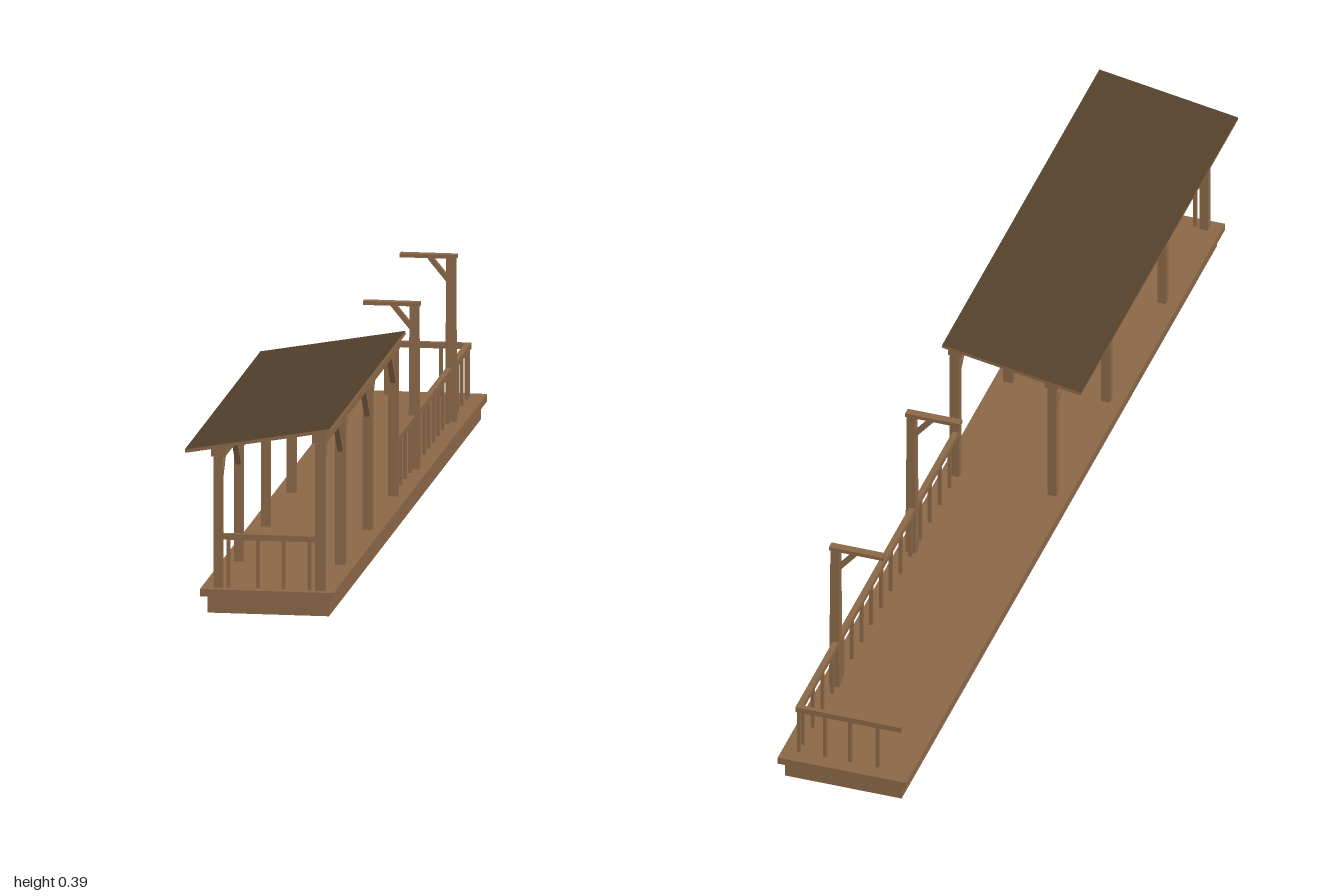
import * as THREE from 'three';

const wood = new THREE.MeshStandardMaterial({ color: 0x8b6848 });
wood.name = 'wood';
const skirtWood = new THREE.MeshStandardMaterial({ color: 0x8b6848, side: THREE.DoubleSide });
skirtWood.name = 'skirt wood';
const darkWood = new THREE.MeshStandardMaterial({ color: 0x523f2b });
darkWood.name = 'dark roof wood';

// Box given by its minimum and maximum on each axis
function box(parent, name, [x0, x1], [y0, y1], [z0, z1], material = wood) {
  const mesh = new THREE.Mesh(new THREE.BoxGeometry(x1 - x0, y1 - y0, z1 - z0), material);
  mesh.position.set((x0 + x1) / 2, (y0 + y1) / 2, (z0 + z1) / 2);
  mesh.name = name;
  parent.add(mesh);
  return mesh;
}

// Square bar running from point a to point b
function bar(parent, name, a, b, size) {
  const from = new THREE.Vector3(...a), to = new THREE.Vector3(...b);
  const mesh = new THREE.Mesh(new THREE.BoxGeometry(size, size, from.distanceTo(to)), wood);
  mesh.position.copy(from).lerp(to, 0.5);
  mesh.lookAt(to);
  mesh.name = name;
  parent.add(mesh);
}

function group(parent, name) {
  const g = new THREE.Group();
  g.name = name;
  parent.add(g);
  return g;
}

const around = (c, width) => [c - width / 2, c + width / 2];

export function createModel() {
  const model = new THREE.Group();
  model.name = 'platform';

  // Deck on a hollow skirt that is open below
  box(model, 'deck', [-0.12, 0.15], [0.035, 0.05], [-1, 1]);
  const skirt = box(model, 'skirt', [-0.107, 0.139], [0, 0.035], [-0.988, 0.988], skirtWood);
  const index = Array.from(skirt.geometry.index.array);
  index.splice(12, 12); // drop the top and bottom faces
  skirt.geometry.setIndex(index);
  skirt.geometry.clearGroups();

  // Shelter: two rows of posts, each with a beam and diagonal braces
  const shelter = group(model, 'shelter');
  const postZ = [0.975, 0.712, 0.36, 0.024];
  const rows = [
    { x: 0.12, width: 0.02, top: 0.35, beam: [0.104, 0.132], beamTop: 0.373 },
    { x: -0.086, width: 0.018, top: 0.317, beam: [-0.1, -0.072], beamTop: 0.336 },
  ];
  for (const row of rows) {
    box(shelter, 'beam', row.beam, [row.top, row.beamTop], [0.012, 0.982]);
    postZ.forEach((z, i) => {
      box(shelter, 'post', around(row.x, row.width), [0.05, row.top], around(z, 0.016));
      for (const s of [1, -1]) {
        if ((i === 0 && s > 0) || (i === postZ.length - 1 && s < 0)) continue;
        bar(shelter, 'brace', [row.x, row.top - 0.07, z], [row.x, row.top + 0.004, z + s * 0.065], 0.011);
      }
    });
  }

  // Sloping roof with a dark top
  const roof = box(shelter, 'roof', around(-0.006, 0.297), around(0.3525, 0.007), [0, 0.985],
    [wood, wood, darkWood, wood, wood, wood]);
  roof.rotation.z = 0.172;

  // Railings
  const railing = group(model, 'railing');
  const railY = [0.148, 0.16], balusterY = [0.05, 0.148];
  box(railing, 'sideRail', around(0.117, 0.012), railY, [-0.965, 0.018]);
  for (let i = 0; i < 16; i++) {
    box(railing, 'sideBaluster', around(0.117, 0.007), balusterY, around(-0.022 - i * 0.0612, 0.007));
  }
  box(railing, 'backRail', [-0.1, 0.123], railY, around(-0.965, 0.01));
  for (const x of [-0.049, 0.009, 0.062, 0.117]) {
    box(railing, 'backBaluster', around(x, 0.007), balusterY, around(-0.965, 0.007));
  }
  box(railing, 'frontRail', [-0.078, 0.111], railY, around(0.975, 0.01));
  for (const x of [-0.066, -0.007, 0.045, 0.098]) {
    box(railing, 'frontBaluster', around(x, 0.007), balusterY, around(0.975, 0.007));
  }

  // Tapered lamp posts with a braced arm over the deck
  for (const z of [-0.247, -0.725]) {
    const lamp = group(model, 'lampPost');
    const post = box(lamp, 'tallPost', around(0.12, 0.018), [0.05, 0.382], around(z, 0.015));
    const p = post.geometry.attributes.position;
    for (let i = 0; i < p.count; i++) {
      if (p.getY(i) < 0) p.setXYZ(i, p.getX(i) * 1.2, p.getY(i), p.getZ(i) * 1.4);
    }
    post.geometry.computeVertexNormals();
    box(lamp, 'arm', [0.017, 0.132], [0.382, 0.39], around(z, 0.017));
    bar(lamp, 'armBrace', [0.115, 0.335], [0.075, 0.384], 0.01);
    const brace = lamp.children[lamp.children.length - 1];
    brace.removeFromParent();
    bar(lamp, 'armBrace', [0.115, 0.337, z], [0.077, 0.383, z], 0.01);
  }

  return model;
}
